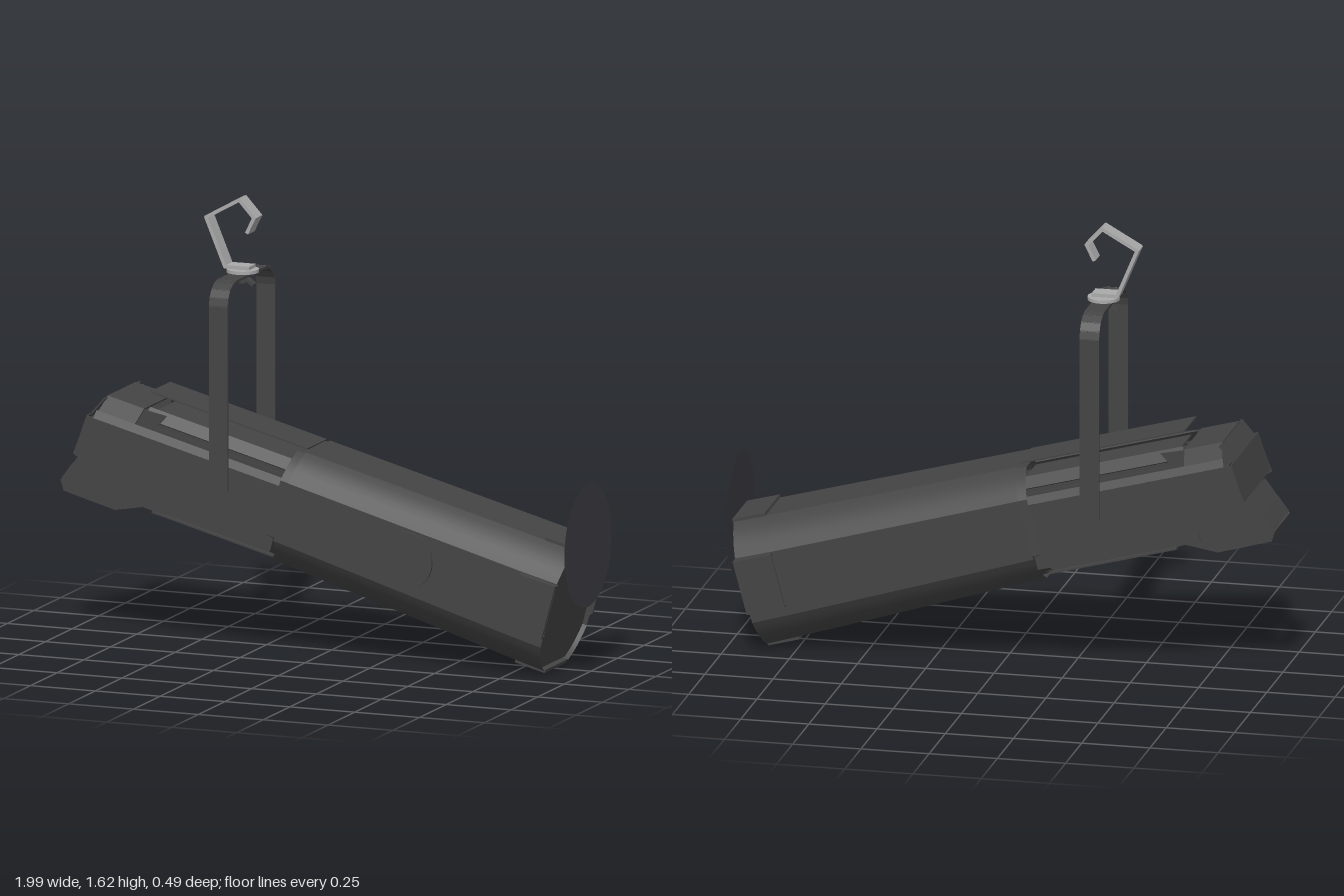
import * as THREE from 'three';
import { toCreasedNormals } from 'three/addons/utils/BufferGeometryUtils.js';

const dark = new THREE.MeshStandardMaterial({ color: 0x444444, side: THREE.DoubleSide });
const lensMat = new THREE.MeshStandardMaterial({ color: 0x3c3c42, side: THREE.DoubleSide });
const steel = new THREE.MeshStandardMaterial({ color: 0xaaaaaa, side: THREE.DoubleSide });

function add(parent, name, geo, mat = dark, x = 0, y = 0, z = 0) {
  const m = new THREE.Mesh(geo, mat);
  m.name = name;
  m.position.set(x, y, z);
  parent.add(m);
  return m;
}

// Flat bar between two points of the xy plane, spanning z0..z1
function bar(parent, name, a, b, z0, z1, th = 0.006, mat = dark) {
  const dx = b[0] - a[0], dy = b[1] - a[1];
  const m = add(parent, name, new THREE.BoxGeometry(Math.hypot(dx, dy) + th * 0.5, th, z1 - z0), mat,
    (a[0] + b[0]) / 2, (a[1] + b[1]) / 2, (z0 + z1) / 2);
  m.rotation.z = Math.atan2(dy, dx);
}

// Lengthwise panel x0..x1 whose section runs from a to b, each [z, y]
function panel(parent, name, x0, x1, a, b, th = 0.006, mat = dark) {
  const dz = b[0] - a[0], dy = b[1] - a[1];
  const m = add(parent, name, new THREE.BoxGeometry(x1 - x0, Math.hypot(dz, dy) + th * 0.5, th), mat,
    (x0 + x1) / 2, (a[1] + b[1]) / 2, (a[0] + b[0]) / 2);
  m.rotation.x = Math.atan2(dz, dy);
}

// Plate cut to an outline in xy
function plate(parent, name, pts, z, th = 0.006) {
  const s = new THREE.Shape(pts.map(p => new THREE.Vector2(...p)));
  add(parent, name, new THREE.ExtrudeGeometry(s, { depth: th, bevelEnabled: false }), dark, 0, 0, z - th / 2);
}

// Round section with four flats, unit half width
function section() {
  const pts = [], r = 0.243 / 0.215, a0 = Math.asin(0.113 / 0.243), a1 = Math.PI / 2 - a0;
  for (let q = 0; q < 4; q++)
    for (let i = 0; i <= 6; i++) {
      const a = q * Math.PI / 2 + a0 + (a1 - a0) * i / 6;
      pts.push([r * Math.cos(a), r * Math.sin(a)]);
    }
  return pts;
}

// Loft of the section through stations [x, centreY, halfWidth, halfHeight]
function loft(stations, capEnd) {
  const sec = section(), n = sec.length, pos = [], idx = [];
  for (const [x, cy, hw, hh] of stations)
    for (const [a, b] of sec) pos.push(x, cy + b * hh, a * hw);
  for (let k = 0; k < stations.length - 1; k++)
    for (let i = 0; i < n; i++) {
      const a = k * n + i, b = k * n + (i + 1) % n;
      idx.push(a, a + n, b, b, a + n, b + n);
    }
  if (capEnd) {
    const o = (stations.length - 1) * n;
    for (let i = 1; i < n - 1; i++) idx.push(o, o + i + 1, o + i);
  }
  const g = new THREE.BufferGeometry();
  g.setAttribute('position', new THREE.Float32BufferAttribute(pos, 3));
  g.setIndex(idx);
  return toCreasedNormals(g, 0.3);
}

export function createModel() {
  const model = new THREE.Group();
  model.name = 'stageSpotlight';

  // Tilted lamp body, built along its own axis
  const body = new THREE.Group();
  body.name = 'lampBody';
  body.rotation.z = -Math.PI / 12;
  body.position.z = -0.007;
  model.add(body);

  // Barrel with its rear collar and closed front
  add(body, 'rearCollar', loft([[-0.278, 0.498, 0.212, 0.197], [-0.2, 0.495, 0.214, 0.203]]));
  add(body, 'barrel', loft([[-0.245, 0.492, 0.217, 0.21], [0.7, 0.472, 0.217, 0.229], [0.83, 0.471, 0.217, 0.232]]));
  add(body, 'frontPlate', loft([[0.8, 0.471, 0.21, 0.225], [0.815, 0.471, 0.21, 0.225]], true));

  // Frame holders round the front rim
  panel(body, 'topHolder', 0.71, 0.834, [-0.113, 0.706], [0.113, 0.706], 0.012);
  panel(body, 'bottomHolder', 0.71, 0.83, [-0.1, 0.235], [0.1, 0.235], 0.012);
  for (const s of [-1, 1]) {
    panel(body, 'sideHolder', 0.69, 0.834, [s * 0.238, 0.39], [s * 0.238, 0.585], 0.01);
    for (const y of [0.39, 0.585])
      panel(body, 'holderLip', 0.69, 0.834, [s * 0.21, y], [s * 0.238, y], 0.008);
  }

  // Round cover on the side of the barrel
  const knob = add(body, 'sideCover', new THREE.CylinderGeometry(0.106, 0.106, 0.025, 32), dark, 0.254, 0.482, 0.213);
  knob.rotation.x = Math.PI / 2;

  // Open lamp housing: side plates, rails and inner channel
  for (const s of [-1, 1]) {
    plate(body, 'housingSide',
      [[-1.06, 0.43], [-0.75, 0.33], [-0.25, 0.34], [-0.25, 0.58], [-1.045, 0.58]], s * 0.208);
    panel(body, 'upperRail', -1.02, -0.25, [s * 0.208, 0.58], [s * 0.195, 0.605]);
    panel(body, 'channelSide', -0.84, -0.25, [s * 0.13, 0.31], [s * 0.13, 0.6]);
    panel(body, 'channelShoulder', -0.86, -0.25, [s * 0.128, 0.62], [s * 0.1, 0.655]);
    panel(body, 'hoodCorner', -1.015, -0.87, [s * 0.205, 0.585], [s * 0.13, 0.65]);
    plate(body, 'hoodRib', [[-1.045, 0.58], [-1.014, 0.64], [-0.78, 0.655], [-0.82, 0.58]], s * 0.13);
  }
  panel(body, 'topVent', -0.876, -0.25, [-0.09, 0.708], [0.09, 0.708], 0.005);
  panel(body, 'channelTop', -0.84, -0.25, [-0.09, 0.645], [0.09, 0.645], 0.005);
  panel(body, 'bottomVent', -0.745, -0.26, [-0.13, 0.3], [0.13, 0.3], 0.007);
  panel(body, 'hoodTop', -1.015, -0.87, [-0.13, 0.65], [0.13, 0.65]);
  bar(body, 'hoodSlope', [-1.045, 0.58], [-1.012, 0.648], -0.17, 0.17);
  bar(body, 'rearPlate', [-1.055, 0.44], [-1.045, 0.58], -0.208, 0.208);
  bar(body, 'reflectorBack', [-1.03, 0.58], [-0.85, 0.42], -0.2, 0.2);

  // Lamp cap slung under the rear
  const cap = new THREE.Group();
  cap.name = 'lampCap';
  cap.position.z = -0.008;
  model.add(cap);
  const fan = [[-0.998, 0.57], [-0.985, 0.53], [-0.79, 0.476], [-0.65, 0.5], [-0.74, 0.61], [-0.91, 0.69]];
  for (const s of [-1, 1]) plate(cap, 'capSide', fan, s * 0.115);
  bar(cap, 'capEndBar', [-0.994, 0.575], [-0.955, 0.628], -0.115, 0.115);
  bar(cap, 'capLip', [-0.998, 0.57], [-0.985, 0.53], -0.115, 0.115);
  bar(cap, 'capBottom', [-0.9, 0.508], [-0.79, 0.478], -0.115, 0.115);
  bar(cap, 'capBottom', [-0.79, 0.478], [-0.655, 0.502], -0.115, 0.115);
  bar(cap, 'capFront', [-0.655, 0.502], [-0.74, 0.61], -0.115, 0.115);

  // Lens disc hanging upright at the front
  const lens = add(model, 'lensDisc', new THREE.CircleGeometry(0.222, 48), lensMat, 0.99, 0.462, 0.003);
  lens.rotation.y = Math.PI / 2;

  // Yoke strap: two legs, rounded corners and a crossbar
  const outer = [[0.224, 0.6], [0.224, 1.27], [0.217, 1.298], [0.2, 1.324], [0.172, 1.342], [0.142, 1.348]];
  const yoke = new THREE.Group();
  yoke.name = 'yoke';
  yoke.position.z = -0.007;
  model.add(yoke);
  const path = [...outer, ...outer.slice().reverse().map(([z, y]) => [-z, y])];
  for (let i = 0; i < path.length - 1; i++)
    panel(yoke, 'yokeStrap', -0.382, -0.31, path[i], path[i + 1], 0.009);

  // Bolt with wing nut under the crossbar
  add(model, 'yokeBolt', new THREE.CylinderGeometry(0.016, 0.016, 0.06, 12), dark, -0.345, 1.345, -0.007);
  for (const s of [-1, 1])
    bar(model, 'wingNut', [-0.345 + s * 0.012, 1.335], [-0.345 + s * 0.042, 1.312], -0.02, 0.006, 0.012);

  // Hook clamp bent from flat bar
  add(model, 'hookBase', new THREE.CylinderGeometry(0.058, 0.058, 0.012, 24), steel, -0.345, 1.36, -0.007);
  const hook = [[-0.31, 1.375], [-0.4, 1.375], [-0.473, 1.55], [-0.345, 1.622], [-0.288, 1.56], [-0.315, 1.505]];
  for (let i = 0; i < hook.length - 1; i++)
    bar(model, 'hookClamp', hook[i], hook[i + 1], -0.034, 0.028, 0.013, steel);

  return model;
}
